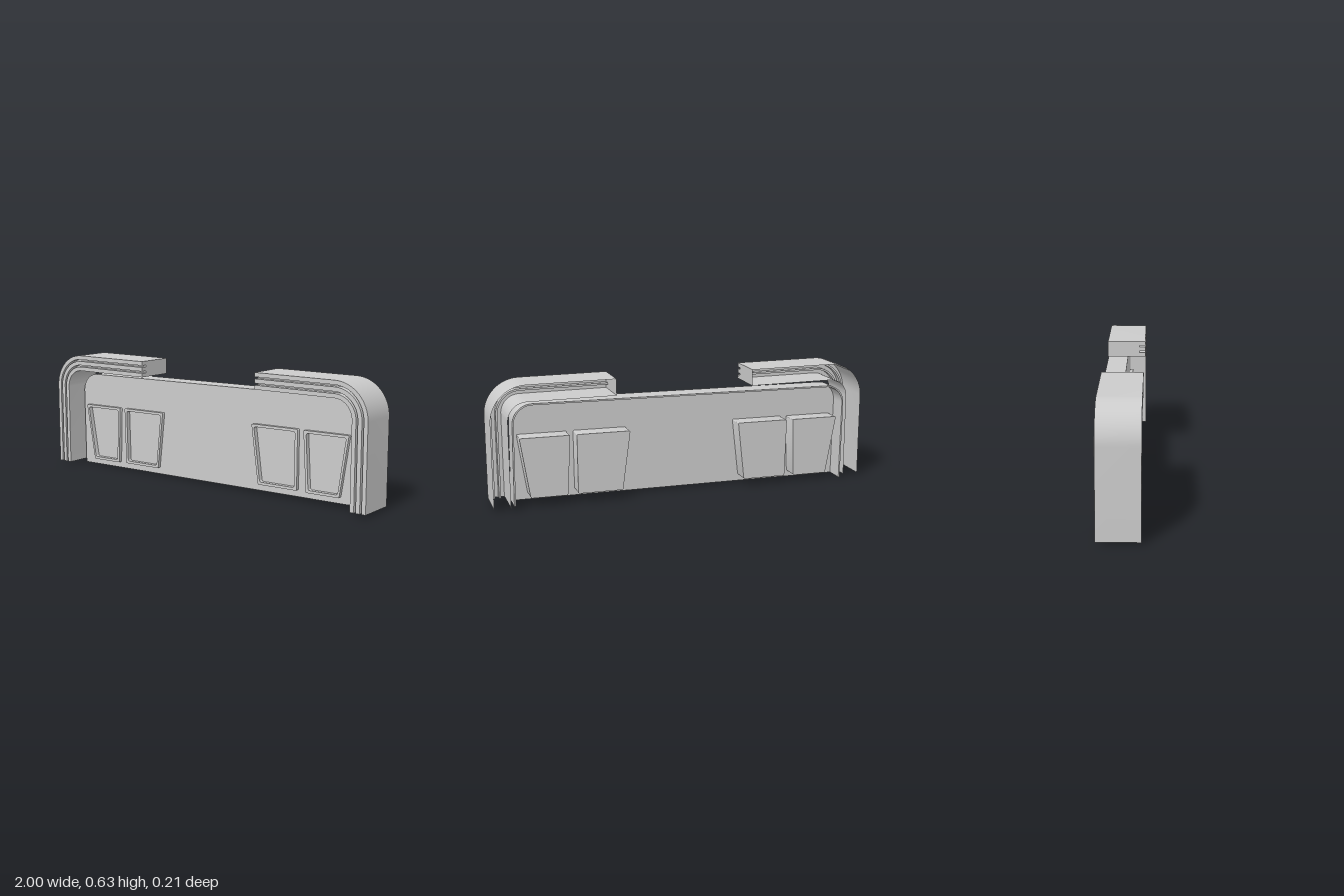
import * as THREE from 'three';
import { toCreasedNormals } from 'three/addons/utils/BufferGeometryUtils.js';

const material = new THREE.MeshStandardMaterial({ color: 0xcccccc, side: THREE.DoubleSide });

function addMesh(parent, geometry, name) {
  const mesh = new THREE.Mesh(toCreasedNormals(geometry, 0.5), material);
  mesh.name = name;
  parent.add(mesh);
}

// Extrude a shape between two depths
function slab(shape, back, front) {
  const g = new THREE.ExtrudeGeometry(shape, { depth: front - back, bevelEnabled: false, curveSegments: 8 });
  return g.translate(0, 0, back);
}

// Trace a polygon with softened corners onto a Shape or Path
function roundedOutline(target, corners, r) {
  corners.forEach((c, i) => {
    const prev = corners[(i + corners.length - 1) % corners.length];
    const next = corners[(i + 1) % corners.length];
    const a = c.clone().add(prev.clone().sub(c).setLength(r));
    const b = c.clone().add(next.clone().sub(c).setLength(r));
    if (i === 0) target.moveTo(a.x, a.y); else target.lineTo(a.x, a.y);
    target.quadraticCurveTo(c.x, c.y, b.x, b.y);
  });
  target.closePath();
  return target;
}

function inset(corners, d) {
  const box = new THREE.Box2().setFromPoints(corners);
  const c = box.getCenter(new THREE.Vector2()), s = box.getSize(new THREE.Vector2());
  const k = new THREE.Vector2(1 - 2.2 * d / s.x, 1 - 2 * d / s.y);
  return corners.map(p => p.clone().sub(c).multiply(k).add(c));
}

// Panel outline from the lower right, over the rounded top, to the lower left
function archPoints(halfWidth, bottom, top, r) {
  const path = new THREE.Path();
  path.moveTo(halfWidth, bottom);
  path.lineTo(halfWidth, top - r);
  path.absarc(halfWidth - r, top - r, r, 0, Math.PI / 2, false);
  path.lineTo(-halfWidth + r, top);
  path.absarc(-halfWidth + r, top - r, r, Math.PI / 2, Math.PI, false);
  path.lineTo(-halfWidth, bottom);
  return path.getPoints(8);
}

// Ribbed trim cross-section, three ridges and two grooves: [inward offset, z]
function trimProfile() {
  const ridge = 0.0215, gap = 0.01, front = 0.107, groove = 0.075, back = -0.098;
  const pts = [[0, back]];
  let t = 0;
  for (let i = 0; i < 5; i++) {
    const width = i % 2 ? gap : ridge, z = i % 2 ? groove : front;
    pts.push([t, z], [t + width, z]);
    t += width;
  }
  pts.push([t, back]);
  return pts;
}

// Sweep the trim up the side, round the corner and along the top
function trimGeometry(profile) {
  const r = 0.18, cx = 0.82, cy = 0.452, segments = 16;
  const stations = [[1, 0.014, 0]];
  for (let i = 0; i <= segments; i++) {
    const a = i / segments * Math.PI / 2;
    stations.push([cx + r * Math.cos(a), cy + r * Math.sin(a), a]);
  }
  stations.push([0.366, cy + r, Math.PI / 2]);
  const n = profile.length;
  const positions = [], index = [];
  stations.forEach(([x, y, a], s) => {
    profile.forEach(([t, z], p) => {
      positions.push(x - t * Math.cos(a), y - t * Math.sin(a), z);
      if (s > 0 && p > 0) {
        const d = s * n + p, c = d - 1, b = d - n, e = b - 1;
        index.push(e, b, d, e, d, c);
      }
    });
  });
  const g = new THREE.BufferGeometry();
  g.setAttribute('position', new THREE.Float32BufferAttribute(positions, 3));
  g.setIndex(index);
  g.computeVertexNormals();
  return g;
}

// Flat plate closing the inner end of the trim
function trimCap(profile) {
  const pts = profile.map(([t, z]) => new THREE.Vector2(z, 0.632 - t));
  return new THREE.ShapeGeometry(new THREE.Shape(pts)).rotateY(-Math.PI / 2).translate(0.366, 0, 0);
}

export function createModel() {
  const model = new THREE.Group();
  model.name = 'panelWithCornerTrim';

  // Slightly tilted panel
  const panel = new THREE.Group();
  panel.name = 'panel';
  panel.rotation.set(0, -0.006, 0.0115);
  panel.position.set(0.004, 0, 0.008);
  model.add(panel);

  // Four tapered windows, mirrored in pairs
  const half = [
    [[0.809, 0.042], [0.86, 0.353], [0.605, 0.353], [0.62, 0.042]],
    [[0.567, 0.045], [0.571, 0.354], [0.294, 0.354], [0.333, 0.045]],
  ];
  const face = new THREE.Shape(archPoints(0.895, 0.011, 0.528, 0.1));
  for (const side of [1, -1]) {
    for (const w of half) {
      const corners = w.map(([x, y]) => new THREE.Vector2(side * x, y));
      const frame = roundedOutline(new THREE.Shape(), corners, 0.008);
      const opening = roundedOutline(new THREE.Path(), inset(corners, 0.014), 0.012);
      face.holes.push(roundedOutline(new THREE.Path(), corners, 0.008));
      // Solid box behind, raised frame in front
      addMesh(panel, slab(frame, -0.098, -0.006), 'windowBox');
      const border = frame.clone();
      border.holes.push(opening);
      addMesh(panel, slab(border, -0.006, 0.018), 'windowFrame');
    }
  }
  addMesh(panel, slab(face, -0.008, 0), 'panelFace');

  // Rim running back from the sides and top
  const rim = new THREE.Shape([
    ...archPoints(0.895, 0.011, 0.528, 0.1),
    ...archPoints(0.887, 0.011, 0.52, 0.092).reverse(),
  ]);
  addMesh(panel, slab(rim, -0.108, -0.004), 'panelRim');

  // Ribbed corner trims
  const profile = trimProfile();
  for (const side of [1, -1]) {
    const trim = new THREE.Group();
    trim.name = side > 0 ? 'leftTrim' : 'rightTrim';
    trim.scale.x = side;
    addMesh(trim, trimGeometry(profile), 'ribbedTrim');
    addMesh(trim, trimCap(profile), 'trimEndCap');
    model.add(trim);
  }
  return model;
}
